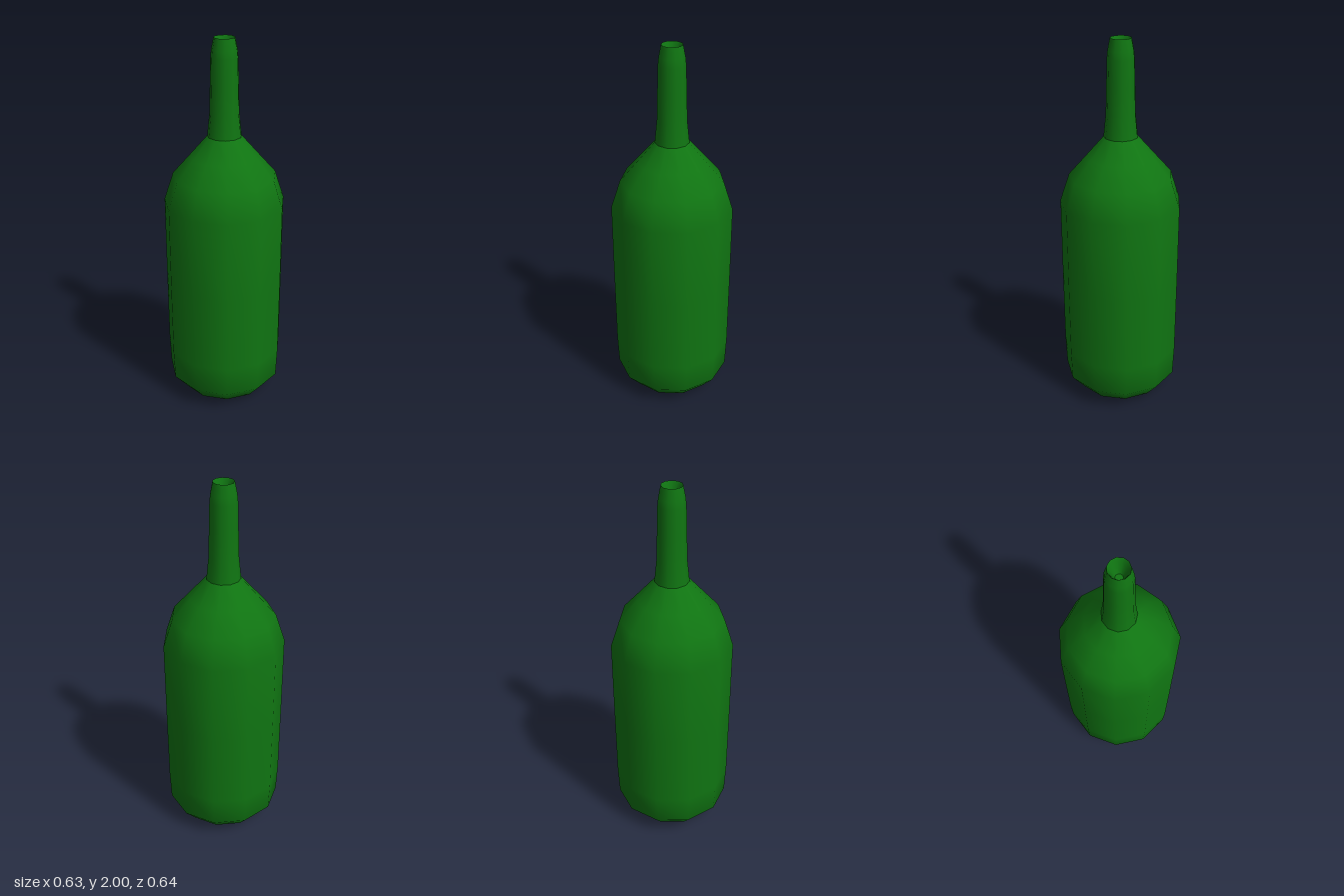
import * as THREE from 'three';

const SIDES = 11;

export function createModel() {
  const bottle = new THREE.Group();
  bottle.name = 'bottle';
  const glass = new THREE.MeshStandardMaterial({ color: 0x107512 });

  // Turns a [radius, height] profile into an eleven-sided part with a corner on +x
  const turn = (name, profile) => {
    const points = profile.map(([r, y]) => new THREE.Vector2(r, y));
    const mesh = new THREE.Mesh(new THREE.LatheGeometry(points, SIDES, Math.PI / 2), glass);
    mesh.name = name;
    mesh.position.x = -0.0065; // an odd number of sides sits off centre
    bottle.add(mesh);
  };

  // Shallow convex base, straight body and rounded shoulder
  turn('body', [
    [0, 0], [0.24, 0.03], [0.313, 0.115], [0.32, 0.28], [0.3215, 0.7],
    [0.3215, 1.14], [0.272, 1.29], [0.18, 1.395], [0.089, 1.5],
  ]);

  // Slim neck narrowing to the lip
  turn('neck', [
    [0.089, 1.5], [0.077, 1.62], [0.0735, 1.76], [0.07, 1.9], [0.066, 1.94], [0.054, 2],
  ]);

  // Hollow mouth tapering to a small closed floor
  turn('mouth', [[0.054, 2], [0.046, 1.985], [0.034, 1.95], [0.019, 1.91]]);
  turn('mouthFloor', [[0.019, 1.91], [0, 1.91]]);

  return bottle;
}
